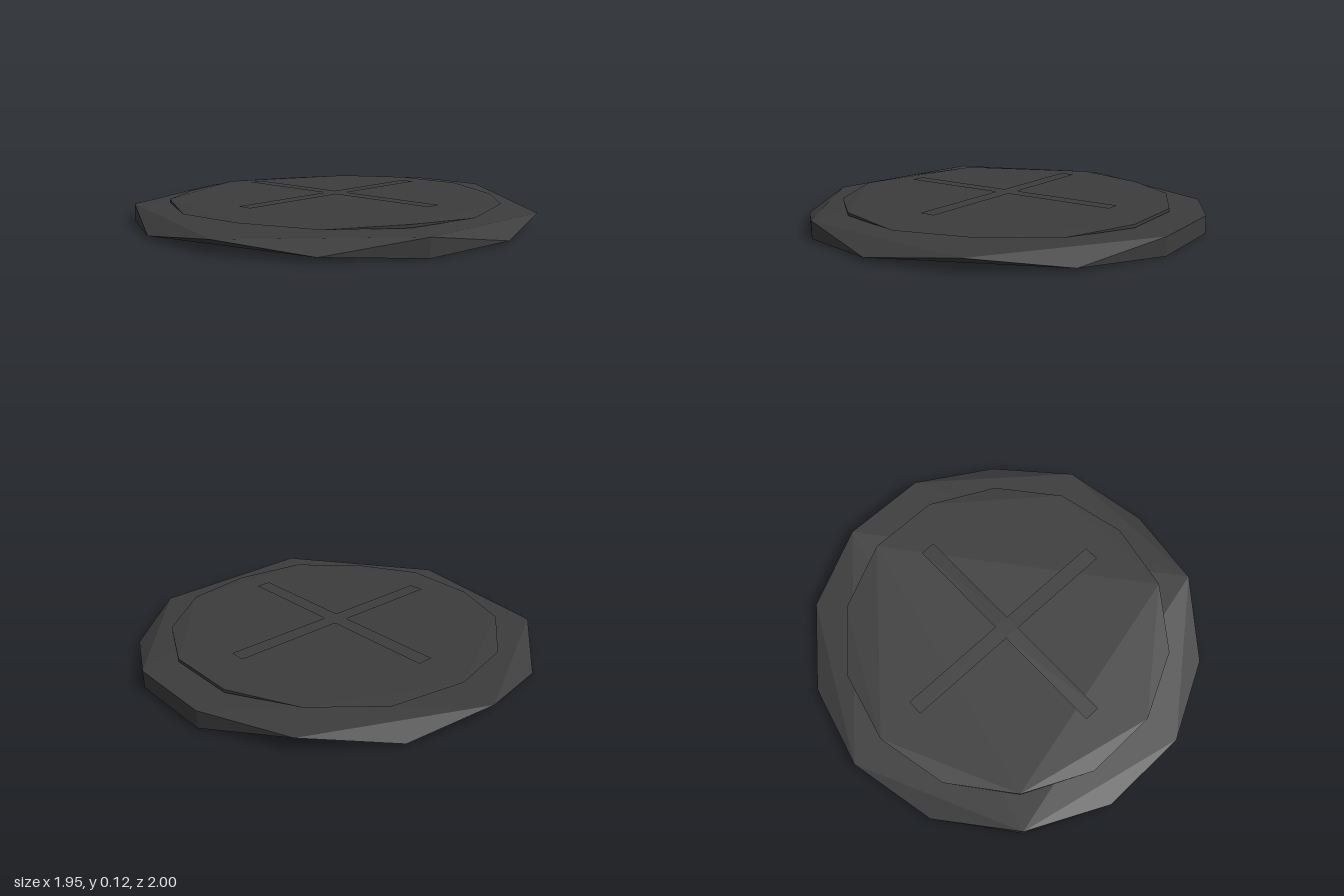
import * as THREE from 'three';
import { ConvexGeometry } from 'three/addons/geometries/ConvexGeometry.js';

const SIDES = 14;
// Rim height(s) of each corner, counter-clockwise from the front (+z towards +x)
const RIM = [[0.015], [0.065], [0.017], [0, 0.086], [0, 0.086], [0.067], [0.02],
  [0.066], [0.013], [0, 0.086], [0.013], [0.063], [0.021], [0, 0.086]];

// Faceted slab spanning the uneven rim corners
function slab(radius, bottom, heightScale) {
  const points = [];
  RIM.forEach((heights, i) => {
    const a = (i / SIDES) * Math.PI * 2;
    for (const h of heights) {
      points.push(new THREE.Vector3(Math.sin(a) * radius, bottom + h * heightScale, Math.cos(a) * radius));
    }
  });
  return new ConvexGeometry(points);
}

// Flat plus sign lying in the horizontal plane
function plus(reach, half) {
  const shape = new THREE.Shape();
  for (let i = 0; i < 4; i++) {
    const c = Math.round(Math.cos(i * Math.PI / 2)), s = Math.round(Math.sin(i * Math.PI / 2));
    for (const [x, y] of [[reach, -half], [reach, half], [half, half]]) {
      const px = x * c - y * s, py = x * s + y * c;
      if (i === 0 && x === reach && y < 0) shape.moveTo(px, py);
      else shape.lineTo(px, py);
    }
  }
  shape.closePath();
  return new THREE.ShapeGeometry(shape).rotateX(-Math.PI / 2);
}

export function createModel() {
  const group = new THREE.Group();
  const charcoal = new THREE.MeshStandardMaterial({ color: 0x3c3c3c, side: THREE.DoubleSide });
  charcoal.name = 'charcoal';
  const add = (name, geometry) => {
    const mesh = new THREE.Mesh(geometry, charcoal);
    mesh.name = name;
    group.add(mesh);
    return mesh;
  };

  add('baseDisc', slab(1, 0, 1));
  add('raisedPlate', slab(0.83, 0.089, 0.18));
  add('crossMark', plus(0.61, 0.04)).position.y = 0.119;
  return group;
}
